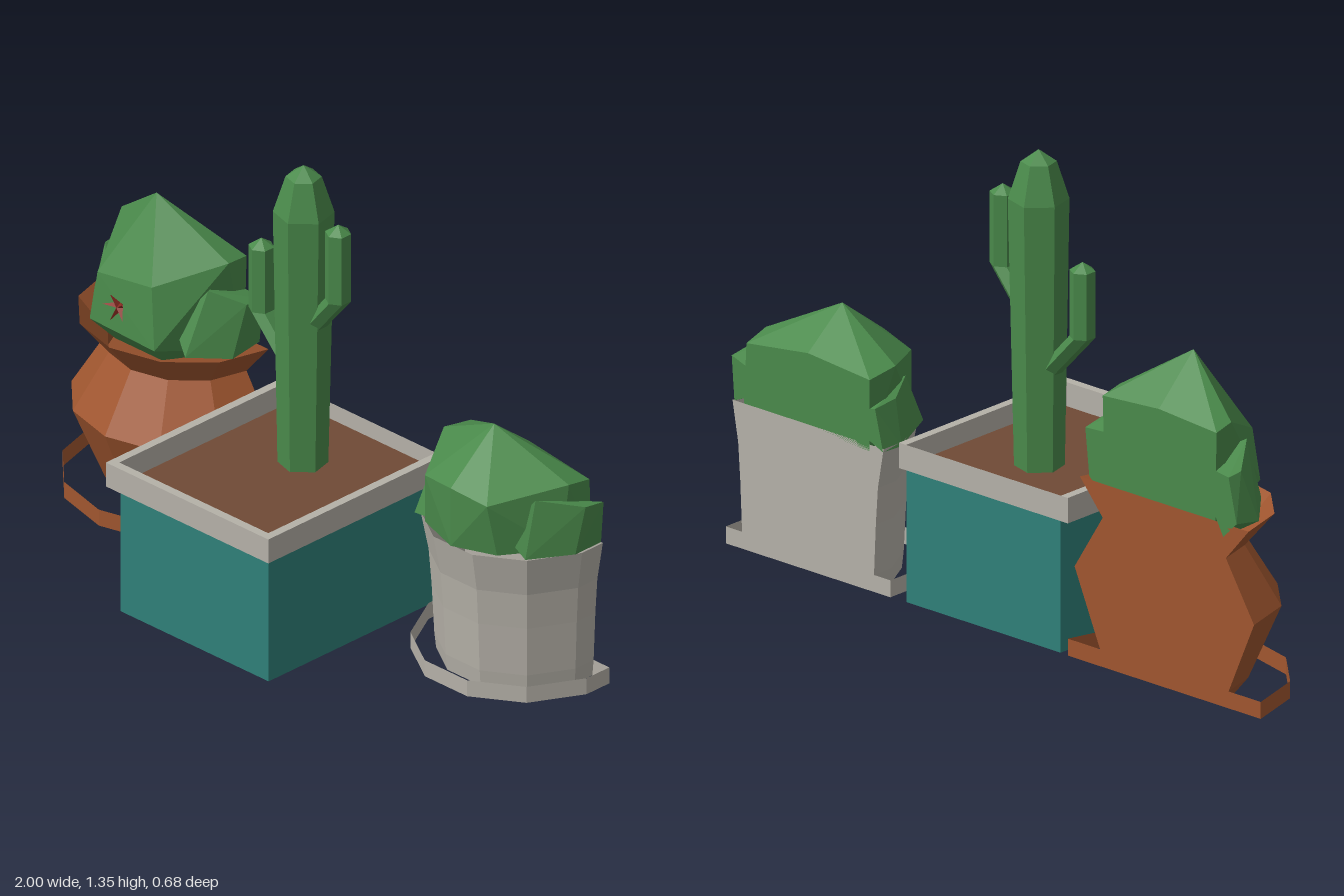
import * as THREE from 'three';
import { ConvexGeometry } from 'three/addons/geometries/ConvexGeometry.js';

const BACK = -0.34; // flat plane that cuts every pot behind

const material = (name, color) => {
  const m = new THREE.MeshStandardMaterial({ color, flatShading: true, side: THREE.DoubleSide });
  m.name = name;
  return m;
};

export function createModel() {
  const terracotta = material('terracotta', 0xa0562f);
  const stone = material('stone', 0xb5b1a8);
  const teal = material('teal', 0x2f8079);
  const soil = material('soil', 0x704a36);
  const green = material('cactus green', 0x4a8a4b);
  const red = material('flower red', 0x8a2c22);

  const model = new THREE.Group();
  model.name = 'cactusPots';
  const group = (name) => {
    const g = new THREE.Group();
    g.name = name;
    model.add(g);
    return g;
  };
  const add = (parent, name, geometry, mat, x = 0, y = 0, z = 0) => {
    const mesh = new THREE.Mesh(geometry, mat);
    mesh.name = name;
    mesh.position.set(x, y, z);
    parent.add(mesh);
    return mesh;
  };

  // Half of a twelve-sided turned wall, squared off at its back plane
  const halfLathe = (profile, halfAngle, depth) => {
    const points = profile.map(([r, y]) => new THREE.Vector2(r, y));
    const steps = Math.round((halfAngle * 2) / 30);
    const a = THREE.MathUtils.degToRad(halfAngle);
    const g = new THREE.LatheGeometry(points, steps, -a, a * 2);
    const p = g.attributes.position;
    for (let i = 0; i < p.count; i++) p.setZ(i, Math.max(0, p.getZ(i)) * depth);
    g.computeVertexNormals();
    return g;
  };

  // Half pot: wall, loose saucer band and flat back
  const halfPot = (name, mat, x, body, saucerR, halfAngle, depth) => {
    const g = group(name);
    const saucer = [[saucerR, 0], [saucerR, 0.05]];
    add(g, 'potWall', halfLathe(body, halfAngle, depth), mat, x, 0, BACK);
    add(g, 'saucerBand', halfLathe(saucer, halfAngle, depth), mat, x, 0, BACK);
    const k = halfAngle > 90 ? Math.cos(Math.PI / 12) : 1;
    const edge = [...saucer, [body[0][0], 0.05], ...body.slice(1)].map(([r, y]) => [r * k, y]);
    const outline = [...edge, ...edge.map(([r, y]) => [-r, y]).reverse()];
    const shape = new THREE.Shape(outline.map(([px, py]) => new THREE.Vector2(px, py)));
    add(g, 'flatBack', new THREE.ShapeGeometry(shape).rotateY(Math.PI), mat, x, 0, BACK);
    return g;
  };

  // Faceted lump through a handful of corner points
  const lump = (parent, name, corners) =>
    add(parent, name, new ConvexGeometry(corners.map((c) => new THREE.Vector3(...c))), green);

  // Six-sided stem through level rings [x, y, z, radius]
  const stem = (rings, turn) => {
    const pos = [], index = [], n = 6;
    rings.forEach(([x, y, z, r]) => {
      for (let j = 0; j < n; j++) {
        const a = turn + (j / n) * Math.PI * 2;
        pos.push(x + r * Math.cos(a), y, z + r * Math.sin(a));
      }
    });
    for (let i = 0; i < rings.length - 1; i++) {
      for (let j = 0; j < n; j++) {
        const p = i * n + j, q = i * n + ((j + 1) % n);
        index.push(p, p + n, q);
        if (rings[i + 1][3] > 0) index.push(q, p + n, q + n);
      }
    }
    const g = new THREE.BufferGeometry();
    g.setAttribute('position', new THREE.Float32BufferAttribute(pos, 3));
    g.setIndex(index);
    g.computeVertexNormals();
    return g;
  };

  // Terracotta pot with a round flowering cactus
  const clay = halfPot('terracottaPot', terracotta, -0.64,
    [[0.2, 0], [0.24, 0.05], [0.335, 0.27], [0.23, 0.44], [0.315, 0.54]], 0.36, 90, 0.96);
  lump(clay, 'roundCactus', [
    [-0.635, 0.96, -0.215], [-0.835, 0.815, -0.28], [-0.4, 0.81, -0.26],
    [-0.53, 0.75, -0.09], [-0.74, 0.72, -0.09],
    [-0.76, 0.57, -0.08], [-0.5, 0.57, -0.07],
    [-0.72, 0.5, -0.14], [-0.54, 0.5, -0.14], [-0.83, 0.5, BACK], [-0.42, 0.5, BACK],
    [-0.835, 0.8, BACK], [-0.41, 0.8, BACK], [-0.62, 0.815, BACK],
  ]);
  lump(clay, 'leftCactusLump', [
    [-0.89, 0.69, -0.3], [-0.82, 0.74, -0.2], [-0.92, 0.54, -0.26], [-0.8, 0.54, -0.12],
    [-0.74, 0.6, -0.14], [-0.86, 0.5, BACK], [-0.91, 0.55, BACK], [-0.88, 0.68, BACK], [-0.75, 0.7, BACK],
  ]);
  lump(clay, 'rightCactusLump', [
    [-0.34, 0.7, -0.27], [-0.42, 0.74, -0.2], [-0.355, 0.54, -0.23], [-0.44, 0.55, -0.13],
    [-0.5, 0.62, -0.15], [-0.42, 0.5, BACK], [-0.36, 0.55, BACK], [-0.345, 0.69, BACK], [-0.5, 0.7, BACK],
  ]);
  const flower = new THREE.Group();
  flower.name = 'flower';
  flower.position.set(-0.635, 0.66, -0.07);
  clay.add(flower);
  for (let i = 0; i < 5; i++) {
    const petal = new THREE.ConeGeometry(0.012, 0.05, 3).translate(0, 0.025, 0).rotateX(0.5);
    add(flower, 'petal', petal, red).rotation.z = (i / 5) * Math.PI * 2 + 0.3;
  }

  // Stone pot with a low round cactus
  const grey = halfPot('stonePot', stone, 0.69,
    [[0.25, 0], [0.255, 0.05], [0.262, 0.2], [0.27, 0.31], [0.292, 0.43]], 0.318, 105, 1.07);
  lump(grey, 'lowCactus', [
    [0.69, 0.75, -0.2], [0.455, 0.635, -0.24], [0.93, 0.63, -0.25],
    [0.57, 0.6, -0.05], [0.82, 0.6, -0.04], [0.7, 0.62, -0.02],
    [0.55, 0.44, -0.07], [0.7, 0.44, -0.02], [0.83, 0.44, -0.07], [0.93, 0.44, -0.22],
    [0.46, 0.41, BACK], [0.93, 0.41, BACK], [0.46, 0.62, BACK], [0.92, 0.61, BACK], [0.69, 0.64, BACK],
  ]);
  lump(grey, 'leftLowLump', [
    [0.405, 0.42, -0.27], [0.445, 0.545, -0.25], [0.5, 0.57, -0.15], [0.48, 0.43, -0.1],
    [0.56, 0.45, -0.08], [0.41, 0.42, BACK], [0.44, 0.54, BACK], [0.6, 0.5, BACK],
  ]);
  lump(grey, 'rightLowLump', [
    [0.975, 0.57, -0.27], [0.89, 0.6, -0.16], [0.965, 0.43, -0.24], [0.89, 0.43, -0.12],
    [0.82, 0.5, -0.1], [0.965, 0.43, BACK], [0.975, 0.56, BACK], [0.8, 0.5, BACK],
  ]);

  // Square planter: open teal walls, stone rim and soil sheet
  const planter = group('squarePlanter');
  const walls = new THREE.CylinderGeometry(Math.SQRT1_2, Math.SQRT1_2, 1, 4, 1, true)
    .rotateY(Math.PI / 4).scale(0.575, 0.39, 0.65);
  add(planter, 'planterWalls', walls, teal, 0.037, 0.195, -0.012);
  for (const side of [-1, 1]) {
    add(planter, 'sideRim', new THREE.BoxGeometry(0.026, 0.075, 0.68), stone, 0.035 + side * 0.302, 0.427, 0);
  }
  add(planter, 'frontRim', new THREE.BoxGeometry(0.578, 0.075, 0.026), stone, 0.035, 0.427, 0.327);
  add(planter, 'backRim', new THREE.PlaneGeometry(0.578, 0.075).rotateY(Math.PI), stone, 0.035, 0.427, BACK);
  add(planter, 'soilSurface', new THREE.PlaneGeometry(0.535, 0.612).rotateX(-Math.PI / 2), soil, 0.037, 0.415, -0.033);

  // Tall cactus with two bent arms
  const tall = group('tallCactus');
  const z = -0.11;
  add(tall, 'trunk', stem([
    [0.037, 0.41, z, 0.07], [0.04, 1.2, z, 0.085], [0.04, 1.31, z, 0.05], [0.04, 1.345, z, 0],
  ], THREE.MathUtils.degToRad(16)), green);
  const arm = (name, x0, y0, x1, y1, top) => add(tall, name, stem([
    [x0, y0, z, 0.036], [x1, y1, z, 0.037], [x1, top - 0.025, z, 0.037], [x1, top, z, 0],
  ], Math.PI / 6), green);
  arm('leftArm', 0.08, 0.86, 0.174, 0.975, 1.21);
  arm('rightArm', 0, 0.7, -0.124, 0.835, 1.055);

  return model;
}
